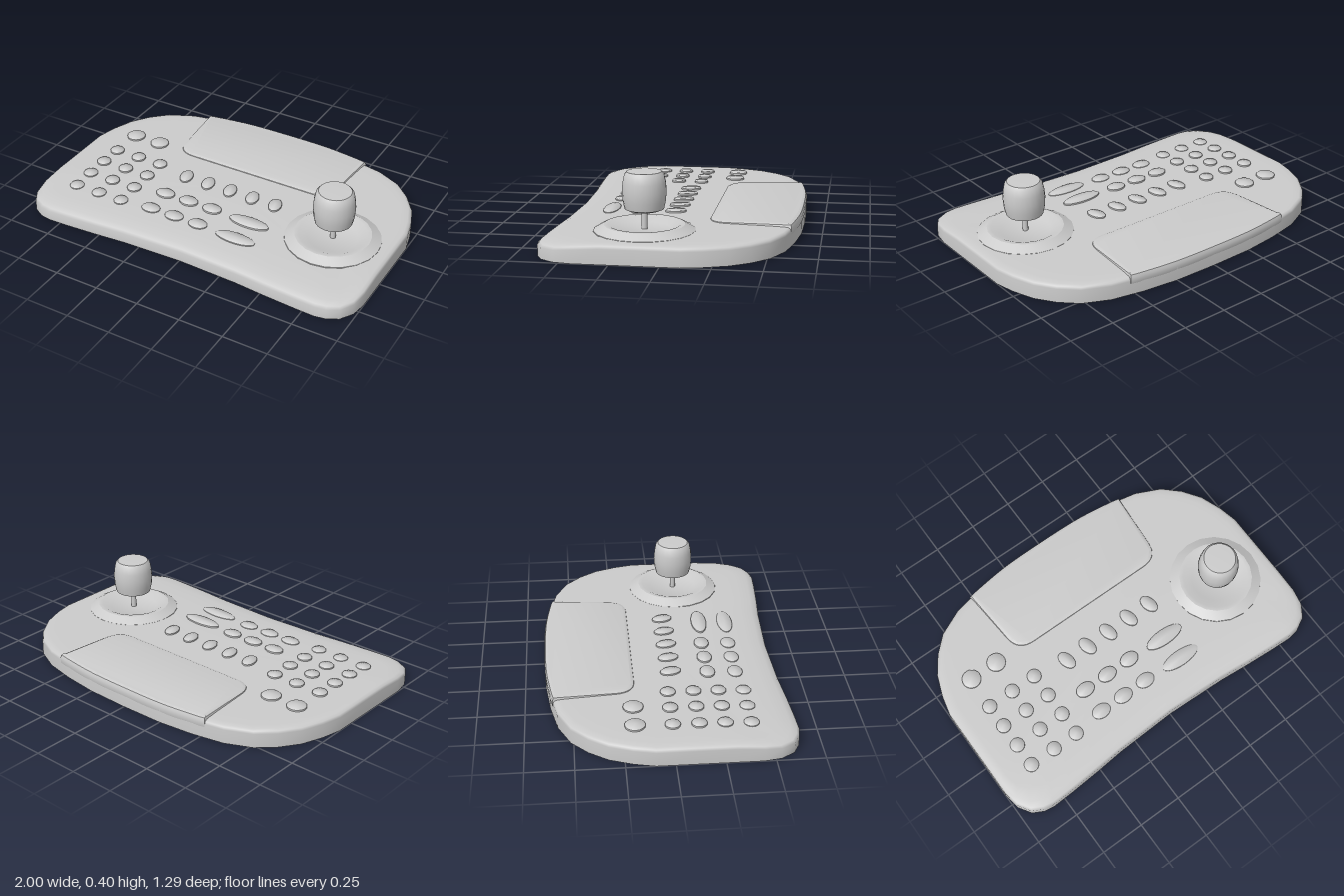
import * as THREE from 'three';
import { toCreasedNormals } from 'three/addons/utils/BufferGeometryUtils.js';

const material = new THREE.MeshStandardMaterial({ color: 0xcccccc });

function part(name, geometry) {
  const mesh = new THREE.Mesh(geometry, material);
  mesh.name = name;
  return mesh;
}

// Right half of the plan outline (x, z), from back centre round to front centre
const half = [
  [0, -0.645], [0.25, -0.64], [0.45, -0.617], [0.63, -0.58], [0.77, -0.515], [0.86, -0.43],
  [0.93, -0.33], [0.975, -0.21], [1, -0.1], [1, 0.1], [1, 0.3], [1, 0.44], [0.985, 0.53],
  [0.94, 0.6], [0.88, 0.632], [0.82, 0.642], [0.7, 0.637], [0.52, 0.625], [0.35, 0.61], [0, 0.597],
];
const outline = [...half, ...half.slice(1, -1).reverse().map(([x, z]) => [-x, z])];

// Casing: rings of the outline, stepped in and up; the front edge slopes more gently
function casingGeometry() {
  // inset elsewhere, inset at front, height elsewhere, height at front
  const rings = [
    [0, 0, 0, 0], [0, 0, 0.078, 0.058], [0.007, 0.02, 0.091, 0.071], [0.022, 0.07, 0.098, 0.082],
    [0.06, 0.18, 0.1, 0.091], [0.15, 0.4, 0.101, 0.097],
  ];
  const n = outline.length, pos = [], index = [];
  for (const [dSide, dFront, ySide, yFront] of rings) {
    for (const [x, z] of outline) {
      const f = THREE.MathUtils.smoothstep(z, 0.3, 0.6);
      pos.push(x * (1 - dSide), THREE.MathUtils.lerp(ySide, yFront, f),
        z * (1 - THREE.MathUtils.lerp(dSide, dFront, f)));
    }
  }
  for (let r = 0; r < rings.length - 1; r++) {
    for (let i = 0; i < n; i++) {
      const a = r * n + i, b = r * n + (i + 1) % n;
      index.push(a, a + n, b, b, a + n, b + n);
    }
  }
  const centre = pos.length / 3, last = (rings.length - 1) * n;
  pos.push(0, 0.102, 0);
  for (let i = 0; i < n; i++) index.push(centre, last + (i + 1) % n, last + i);
  const g = new THREE.BufferGeometry();
  g.setAttribute('position', new THREE.Float32BufferAttribute(pos, 3));
  g.setIndex(index);
  g.computeVertexNormals();
  return g;
}

function undersideGeometry() {
  const shape = new THREE.Shape(outline.map(([x, z]) => new THREE.Vector2(x, z)));
  return new THREE.ShapeGeometry(shape).rotateX(Math.PI / 2);
}

// Raised rear panel with rounded front corners, following the back edge
function panelGeometry() {
  const s = new THREE.Shape();
  s.moveTo(-0.525, 0.603);
  s.lineTo(-0.5, 0.27);
  s.quadraticCurveTo(-0.49, 0.165, -0.38, 0.165);
  s.lineTo(0.38, 0.165);
  s.quadraticCurveTo(0.49, 0.165, 0.5, 0.27);
  s.lineTo(0.525, 0.603);
  s.splineThru([[0.45, 0.617], [0.25, 0.64], [0, 0.645], [-0.25, 0.64], [-0.45, 0.617], [-0.525, 0.603]]
    .map(([x, y]) => new THREE.Vector2(x, y)));
  const g = new THREE.ExtrudeGeometry(s, {
    depth: 0.025, bevelSize: 0.022, bevelOffset: -0.022, bevelThickness: 0.022, bevelSegments: 2, curveSegments: 8,
  });
  g.rotateX(-Math.PI / 2).translate(0, 0.066, 0);
  // Gentle rise towards the back
  const p = g.attributes.position;
  for (let i = 0; i < p.count; i++) {
    if (p.getY(i) > 0.08) p.setY(i, p.getY(i) - (p.getZ(i) + 0.3) * 0.015);
  }
  return toCreasedNormals(g, 0.5);
}

function lathe(points, segments, crease = 0.5) {
  const g = new THREE.LatheGeometry(points.map(([r, y]) => new THREE.Vector2(r, y)), segments);
  return toCreasedNormals(g, crease);
}

// Oval button, sunk into the casing
function button(name, x, z, rx, rz, turn = 0) {
  const top = 0.115 - Math.max(0, z - 0.2) * 0.05;
  const g = lathe([[1, top - 0.04], [1, top - 0.005], [0.9, top], [0, top]], 24, 0.7);
  const mesh = part(name, g);
  mesh.scale.set(rx, 1, rz);
  mesh.rotation.y = turn;
  mesh.position.set(x, 0, z);
  return mesh;
}

export function createModel() {
  const model = new THREE.Group();
  model.add(part('casing', casingGeometry()), part('underside', undersideGeometry()),
    part('rearPanel', panelGeometry()));

  // Buttons
  const buttons = new THREE.Group();
  buttons.name = 'buttons';
  for (const x of [-0.79, -0.625]) buttons.add(button('largeRoundButton', x, -0.19, 0.053, 0.053));
  for (const z of [0, 0.135, 0.267, 0.4]) {
    for (const x of [-0.797, -0.647, -0.5]) buttons.add(button('keypadButton', x, z, 0.04, 0.04));
  }
  for (let i = 0; i < 5; i++) {
    buttons.add(button('uprightOvalButton', -0.3 + i * 0.1425, 0.032, 0.036, 0.057, 0.25));
  }
  for (const z of [0.23, 0.38]) {
    for (const x of [-0.315, -0.165, -0.015]) buttons.add(button('flatOvalButton', x, z, 0.055, 0.04));
    buttons.add(button('wideOvalButton', 0.222, z + 0.01, 0.118, 0.043));
  }
  model.add(buttons);

  // Joystick: dished base, thin stem and barrel knob
  const joystick = new THREE.Group();
  joystick.name = 'joystick';
  joystick.position.set(0.67, 0, 0.13);
  joystick.add(
    part('joystickBase', lathe([[0.262, 0.085], [0.26, 0.102], [0.207, 0.131], [0.185, 0.131],
      [0.135, 0.107], [0, 0.104]], 20)),
    part('joystickStem', new THREE.CylinderGeometry(0.015, 0.015, 0.115, 12).translate(0, 0.155, 0)),
    part('joystickKnob', lathe([[0, 0.198], [0.075, 0.2], [0.1, 0.21], [0.109, 0.25], [0.113, 0.3],
      [0.109, 0.345], [0.101, 0.385], [0.088, 0.4], [0, 0.403]], 24, 0.8)),
  );
  model.add(joystick);
  return model;
}
